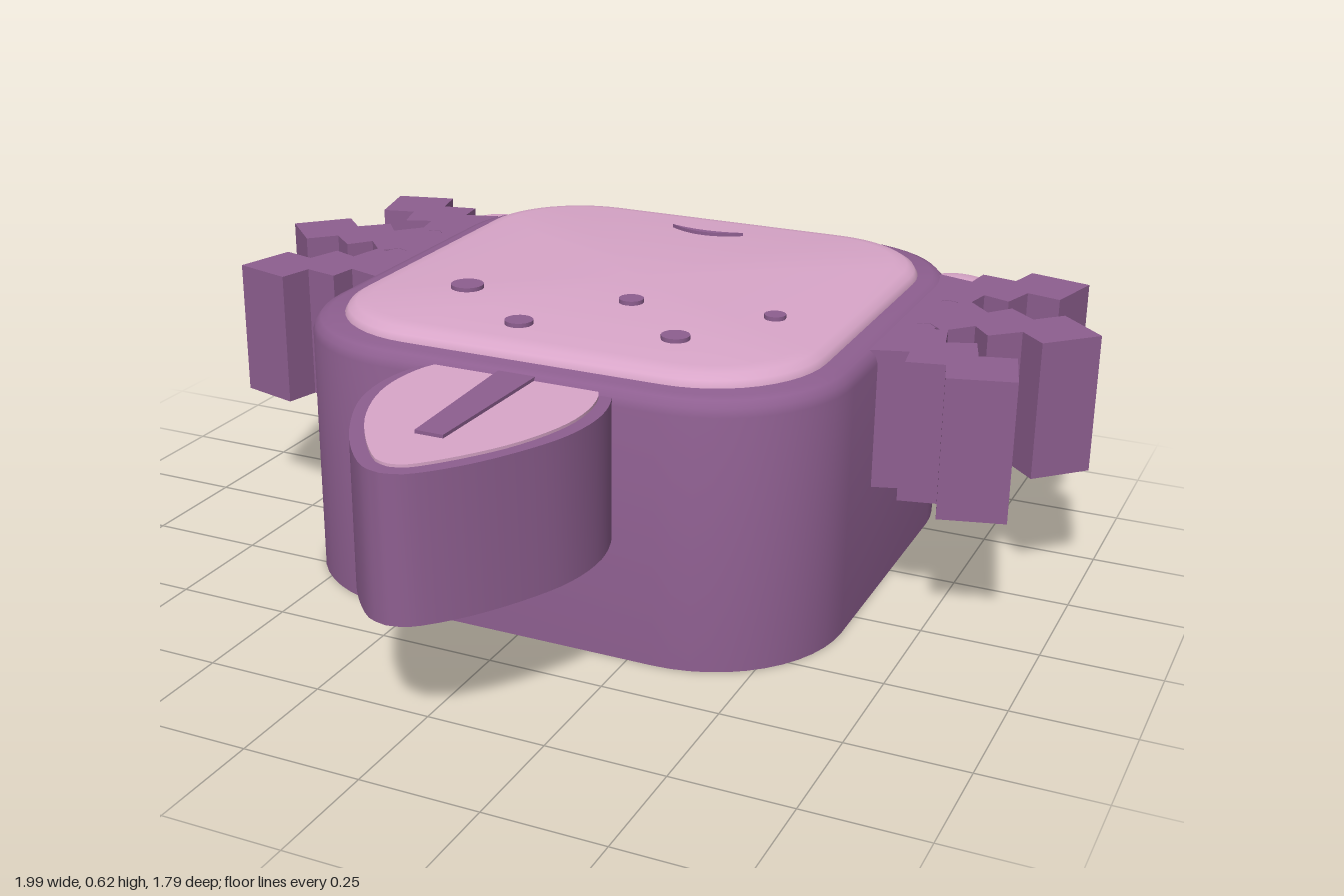
import * as THREE from 'three';
import { toCreasedNormals } from 'three/addons/utils/BufferGeometryUtils.js';

const purple = new THREE.MeshStandardMaterial({ color: 0x8e5f90 });
purple.name = 'purple skin';
const pink = new THREE.MeshStandardMaterial({ color: 0xd9a6c9 });
pink.name = 'pink skin';

function add(parent, name, geometry, material) {
  const mesh = new THREE.Mesh(geometry, material);
  mesh.name = name;
  parent.add(mesh);
  return mesh;
}

// Rounded-square rings [halfWidth, cornerRadius, y] joined into a closed solid
function roundedBlock(rings) {
  const seg = 12, loops = rings.map(([h, r, y]) => {
    const loop = [];
    for (let c = 0; c < 4; c++) {
      const mid = (c + 0.5) * Math.PI / 2;
      const cx = Math.sign(Math.cos(mid)) * (h - r), cz = Math.sign(Math.sin(mid)) * (h - r);
      for (let i = 0; i <= seg; i++) {
        const a = (c + i / seg) * Math.PI / 2;
        loop.push([cx + r * Math.cos(a), y, cz + r * Math.sin(a)]);
      }
    }
    return loop;
  });
  const pos = [];
  for (let k = 0; k + 1 < loops.length; k++) {
    const lo = loops[k], hi = loops[k + 1], n = lo.length;
    for (let j = 0; j < n; j++) {
      const m = (j + 1) % n;
      pos.push(...lo[j], ...hi[j], ...lo[m], ...hi[j], ...hi[m], ...lo[m]);
    }
  }
  const g = new THREE.BufferGeometry();
  g.setAttribute('position', new THREE.Float32BufferAttribute(pos, 3));
  return toCreasedNormals(g, 0.6);
}

// Flat outline [x, z] raised from y0 to y1
function slab(points, y0, y1, smooth = false) {
  const shape = new THREE.Shape(points.map(([x, z]) => new THREE.Vector2(x, -z)));
  const g = new THREE.ExtrudeGeometry(shape, { depth: y1 - y0, bevelEnabled: false });
  g.rotateX(-Math.PI / 2).translate(0, y0, 0);
  return smooth ? toCreasedNormals(g, 0.6) : g;
}

// Leaf outline from its right half, smoothed and mirrored
function leaf(half) {
  const side = new THREE.SplineCurve(half.map(p => new THREE.Vector2(...p))).getPoints(24);
  const right = side.map(p => [p.x, p.y]);
  const left = right.slice(0, -1).reverse().map(([x, z]) => [-x, z]);
  return [...right, ...left];
}

export function createModel() {
  const model = new THREE.Group();
  model.name = 'boxyAmphibian';
  const midZ = -0.225;

  // Body with a softly rounded top rim
  add(model, 'body', roundedBlock([
    [0, 0, 0], [0.604, 0.3, 0], [0.604, 0.3, 0.545], [0.599, 0.295, 0.562],
    [0.587, 0.283, 0.575], [0.57, 0.266, 0.58], [0, 0, 0.58],
  ]), purple).position.z = midZ;

  // Raised back panel
  add(model, 'backPanel', roundedBlock([
    [0, 0, 0.57], [0.54, 0.25, 0.57], [0.54, 0.25, 0.58], [0.532, 0.242, 0.593],
    [0.515, 0.225, 0.603], [0.485, 0.195, 0.608], [0, 0, 0.608],
  ]), pink).position.z = midZ;

  // Spots
  for (const [x, z, r] of [[-0.305, 0.01, 0.036], [0.06, -0.05, 0.027], [0.375, -0.08, 0.023],
    [0.24, 0.13, 0.03], [-0.09, 0.18, 0.03]]) {
    add(model, 'spot', new THREE.CylinderGeometry(r, r, 0.012, 20), purple).position.set(x, 0.611, z);
  }

  // Smile
  const smile = [];
  for (let i = 0; i <= 12; i++) {
    const t = i / 6 - 1;
    smile.push([0.09 * t, -0.588 - 0.032 * t * t]);
  }
  for (let i = 11; i > 0; i--) {
    const t = i / 6 - 1;
    smile.push([0.09 * t, -0.604 - 0.016 * t * t]);
  }
  add(model, 'smile', slab(smile, 0.606, 0.616), purple);

  // Tail with an inset panel and a centre ridge
  const tail = new THREE.Group();
  tail.name = 'tail';
  model.add(tail);
  add(tail, 'tailFin', slab(leaf([[0.18, 0.3], [0.222, 0.4], [0.236, 0.49], [0.222, 0.59], [0.18, 0.69],
    [0.12, 0.79], [0.05, 0.868], [0, 0.886]]), 0.26, 0.56, true), purple);
  add(tail, 'tailPanel', slab(leaf([[0.16, 0.33], [0.195, 0.4], [0.207, 0.49], [0.194, 0.58], [0.155, 0.68],
    [0.098, 0.77], [0.038, 0.84], [0, 0.855]]), 0.558, 0.566, true), pink);
  add(tail, 'tailRidge', slab([[0.042, 0.35], [0.03, 0.71], [-0.03, 0.71], [-0.042, 0.35]], 0.565, 0.573), purple);

  // Gills: feather outline [distance behind tip, half width]
  const feather = [[0.1, 0.1], [0.155, 0.045], [0.215, 0.1], [0.255, 0.05], [0.31, 0.11], [0.345, 0.075], [0.42, 0.1]];
  const gills = [['rearGill', 0.895, -0.695, -31], ['middleGill', 0.996, -0.355, 0], ['frontGill', 0.91, -0.005, 30]];

  for (const side of [1, -1]) {
    const label = side > 0 ? 'left' : 'right';
    for (const [name, tx, tz, deg] of gills) {
      const a = deg * Math.PI / 180, c = Math.cos(a), s = Math.sin(a);
      const place = (d, w) => [side * (tx - d * c - w * s), tz - d * s + w * c];
      const outline = [place(0, 0), ...feather.map(([d, w]) => place(d, w)),
        ...feather.slice().reverse().map(([d, w]) => place(d, -w))];
      add(model, label + name, slab(outline, 0.272, 0.575), purple);
    }
    // Joining root of the gills
    add(model, label + 'GillRoot', slab([[side * 0.55, -0.52], [side * 0.66, -0.5], [side * 0.67, -0.16],
      [side * 0.55, -0.02]], 0.272, 0.574), purple);

    // Round foot with a pink cap and toes
    const foot = new THREE.Group();
    foot.name = label + 'Foot';
    foot.position.set(side * 0.595, 0.348, -0.672);
    model.add(foot);
    const cap = Math.PI / 3;
    add(foot, 'footBall', new THREE.SphereGeometry(0.212, 40, 24, 0, Math.PI * 2, cap, Math.PI - cap), purple);
    add(foot, 'footCap', new THREE.SphereGeometry(0.212, 40, 12, 0, Math.PI * 2, 0, cap), pink);
    for (const x of [-0.095, -0.032, 0.032, 0.095]) {
      const toe = add(foot, 'toe', new THREE.BoxGeometry(0.04, 0.035, 0.05), pink);
      toe.position.set(x, 0.018, -Math.sqrt(0.212 ** 2 - x * x) + 0.012 - Math.abs(x) * 0.08);
      toe.rotation.y = -x * 4;
    }
  }
  return model;
}
